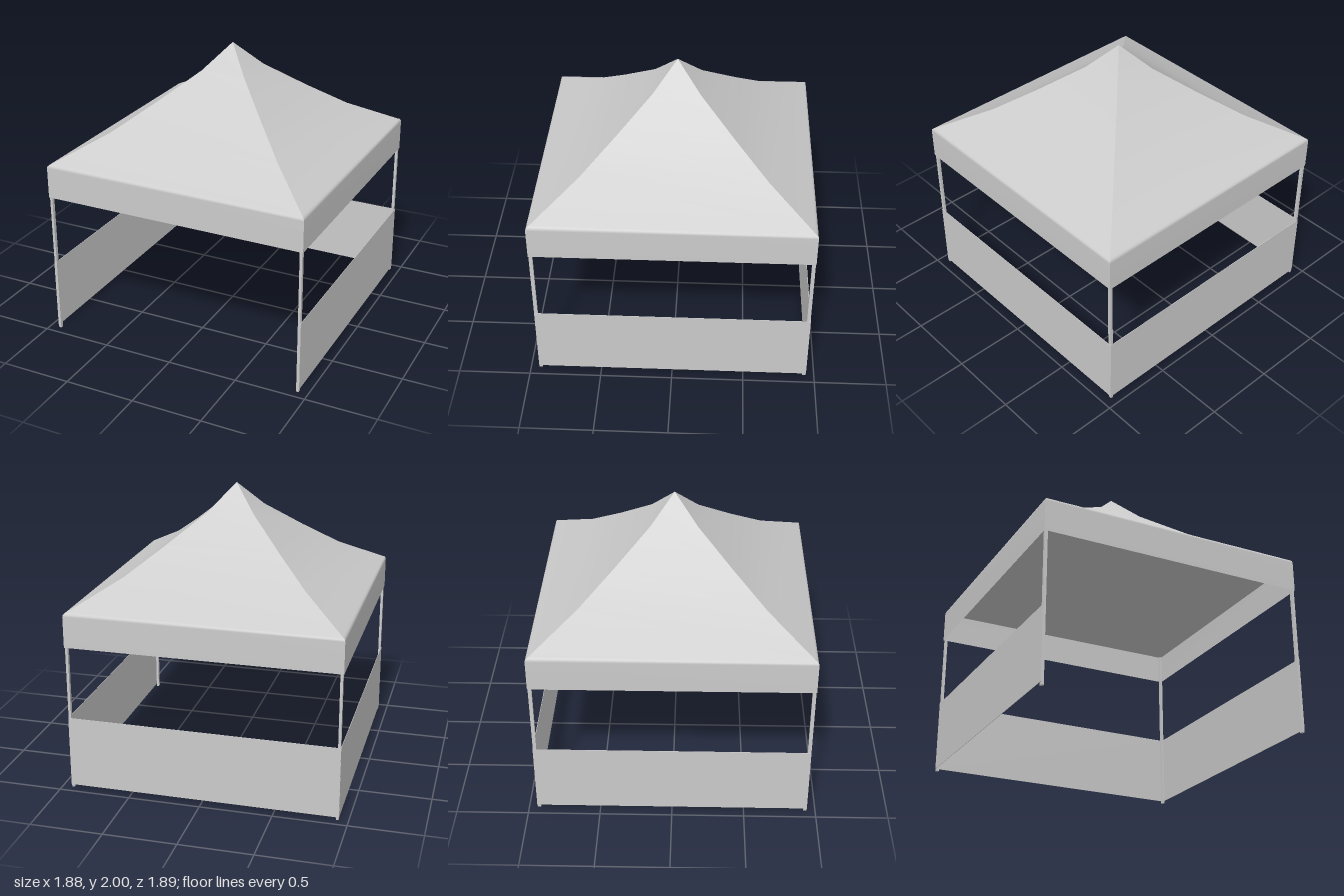
import * as THREE from 'three';

const HX = 0.94, HZ = 0.945; // canopy half width and half depth

// Canopy profile from peak to hem: [fraction of half width, height]
const PROFILE = [
  [0, 2], [0.17, 1.82], [0.42, 1.625], [0.66, 1.45], [0.976, 1.274],
  [0.988, 1.269], [0.997, 1.26], [1, 1.247], [1, 1.03],
];

// One of the four canopy sides, with smooth normals down the slope and a sharp hip
function canopySide(halfWidth, halfDepth) {
  const pos = [], index = [];
  PROFILE.forEach(([f, y], i) => {
    pos.push(-f * halfWidth, y, f * halfDepth, f * halfWidth, y, f * halfDepth);
    if (i === PROFILE.length - 1) return;
    const a = i * 2;
    index.push(a, a + 2, a + 3);
    if (i > 0) index.push(a, a + 3, a + 1);
  });
  const geo = new THREE.BufferGeometry();
  geo.setAttribute('position', new THREE.Float32BufferAttribute(pos, 3));
  geo.setIndex(index);
  geo.computeVertexNormals();
  return geo;
}

export function createModel() {
  const group = new THREE.Group();
  const grey = new THREE.MeshStandardMaterial({ color: 0xcccccc });
  const cloth = new THREE.MeshStandardMaterial({ color: 0xcccccc, side: THREE.DoubleSide });

  const add = (name, geo, mat, x = 0, y = 0, z = 0) => {
    const mesh = new THREE.Mesh(geo, mat);
    mesh.name = name;
    mesh.position.set(x, y, z);
    group.add(mesh);
    return mesh;
  };

  // Peaked roof with its hanging valance
  ['Front', 'Left', 'Back', 'Right'].forEach((side, i) => {
    const geo = i % 2 ? canopySide(HZ, HX) : canopySide(HX, HZ);
    add('canopy' + side, geo, cloth).rotation.y = i * Math.PI / 2;
  });

  // Flat underside of the roof
  const ceiling = new THREE.PlaneGeometry(HX * 2 - 0.004, HZ * 2 - 0.004).rotateX(Math.PI / 2);
  add('ceiling', ceiling, cloth, 0, 1.245, 0);

  // Corner poles
  for (const x of [-1, 1]) {
    for (const z of [-1, 1]) {
      const name = (z > 0 ? 'front' : 'back') + (x > 0 ? 'Left' : 'Right') + 'Pole';
      add(name, new THREE.BoxGeometry(0.018, 1.24, 0.024), grey, x * 0.925, 0.62, z * 0.93);
    }
  }

  // Half-height walls on three sides; the front stays open
  const wallHeight = 0.5, wallY = 0.27;
  for (const x of [-1, 1]) {
    add(x > 0 ? 'leftWall' : 'rightWall',
      new THREE.BoxGeometry(0.003, wallHeight, 1.884), grey, x * 0.9355, wallY, 0);
  }
  add('backWall', new THREE.BoxGeometry(1.872, wallHeight, 0.003), grey, 0, wallY, -0.9425);

  return group;
}
